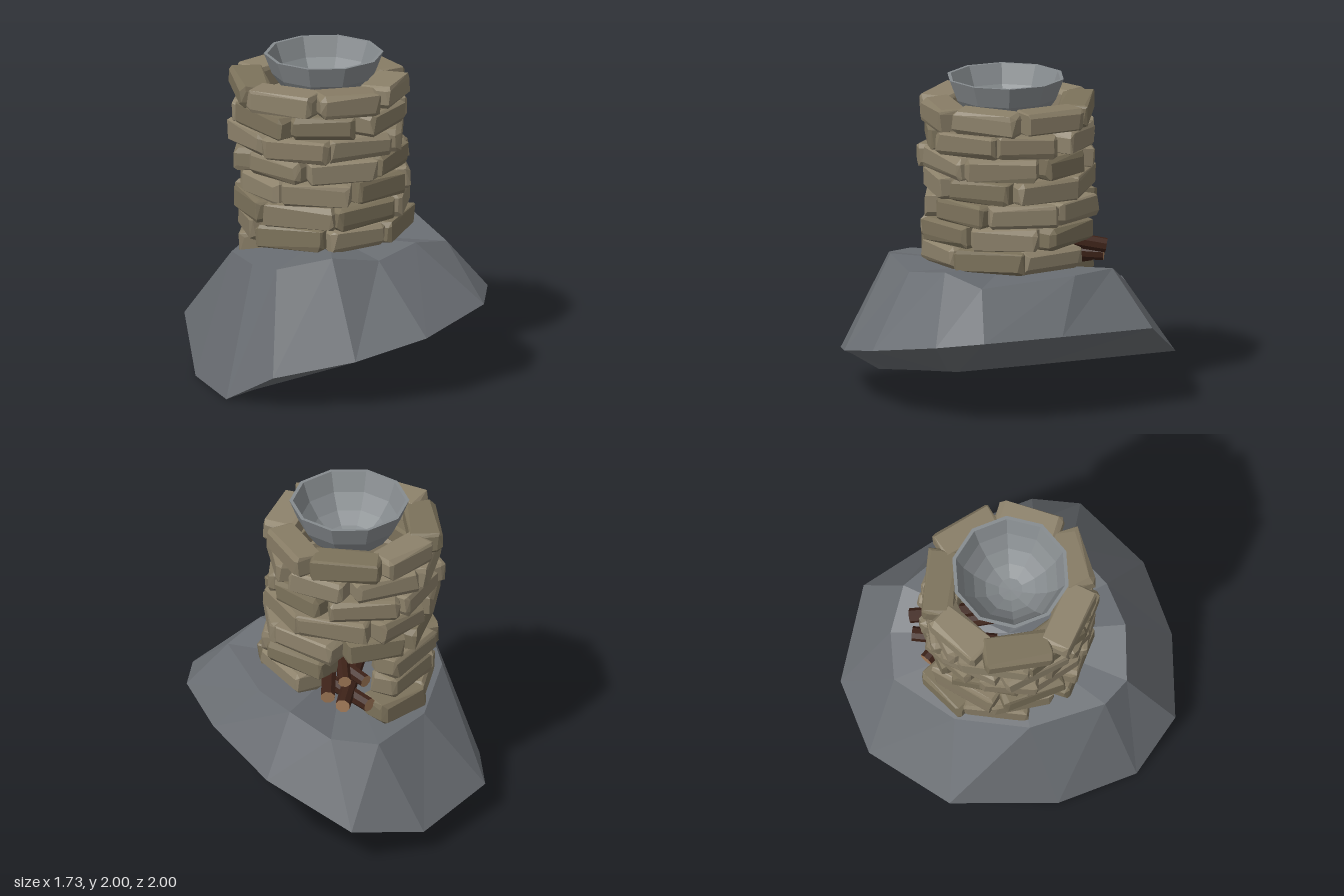
import * as THREE from 'three';
import { ConvexGeometry } from 'three/addons/geometries/ConvexGeometry.js';

let seed = 7;
const rnd = () => (seed = (seed * 16807) % 2147483647) / 2147483647;
const jit = (a) => (rnd() * 2 - 1) * a;

const mat = (color, side = THREE.FrontSide) => new THREE.MeshStandardMaterial({ color, flatShading: true, side });
const ROCK = mat(0x6a6e73);
const BOWL = mat(0x868b8e, THREE.DoubleSide);
const STONES = [mat(0x877c65), mat(0x7c725b), mat(0x8d826b)];
const BARK = mat(0x3d2218);
const CUT = mat(0xa87f5c);

// Faceted boulder: underside ring, widest ring and plateau ring, capped at both ends
function makeRock() {
  const under = [[-.18, .15, -1], [.29, .24, -1], [.36, .255, -.5], [.43, .27, -.02], [.43, .27, .5], [.43, .27, .5],
    [.26, .235, .5], [-.21, .14, .5], [-.69, .04, .5], [-.87, 0, .5], [-.87, 0, -.02], [-.525, .075, -.51]];
  const rim = [[-.18, .15, -1], [.29, .24, -1], [.73, .51, -.67], [.86, .54, -.02], [.86, .54, .5], [.73, .51, .77],
    [.26, .41, 1], [-.21, .31, 1], [-.69, .21, .83], [-.87, 0, .5], [-.87, 0, -.02], [-.69, .2, -.67]];
  const top = [[.03, .68, -.75], [.31, .72, -.66], [.52, .86, -.49], [.62, .86, -.2], [.62, .83, .42], [.36, .89, .56],
    [.07, .84, .68], [-.24, .89, .68], [-.56, .82, .56], [-.65, .81, .38], [-.6, .75, -.1], [-.35, .68, -.5]];
  const pos = [];
  const tri = (...p) => p.forEach((v) => pos.push(...v));
  const rings = [under, rim, top];
  const n = rim.length;
  for (let i = 0; i < n; i++) {
    const j = (i + 1) % n;
    for (let k = 0; k < 2; k++) {
      const a = rings[k], b = rings[k + 1];
      tri(a[i], b[i], a[j]);
      tri(a[j], b[i], b[j]);
    }
    tri([0, .82, 0], top[j], top[i]);
    tri([-.2, .139, 0], under[i], under[j]);
  }
  const geo = new THREE.BufferGeometry();
  geo.setAttribute('position', new THREE.Float32BufferAttribute(pos, 3));
  geo.computeVertexNormals();
  const rock = new THREE.Mesh(geo, ROCK);
  rock.name = 'rockBase';
  return rock;
}

// Rough stone block: hull of a box whose corners are chipped unevenly
function stoneGeometry(l, h, d) {
  const pts = [];
  for (const sx of [-1, 1]) for (const sy of [-1, 1]) for (const sz of [-1, 1]) {
    const c = () => .006 + rnd() * .034;
    const x = l / 2, y = h / 2, z = d / 2;
    pts.push(new THREE.Vector3(sx * x, sy * (y - c()), sz * (z - c())));
    pts.push(new THREE.Vector3(sx * (x - c()), sy * y, sz * (z - c())));
    pts.push(new THREE.Vector3(sx * (x - c()), sy * (y - c()), sz * z));
  }
  return new ConvexGeometry(pts);
}

function placeStone(parent, angle, y, radius, shift = 0) {
  const stone = new THREE.Mesh(stoneGeometry(.41 + jit(.05), .142, .2 + jit(.015)), STONES[Math.floor(rnd() * 3)]);
  stone.name = 'stone';
  stone.position.set(Math.cos(angle) * radius + shift, y, Math.sin(angle) * radius);
  stone.rotation.set(jit(.03), Math.PI / 2 - angle + jit(.12), jit(.025));
  parent.add(stone);
}

// Ring wall of staggered courses, with an opening for the logs in the lowest two
function makeWall() {
  const wall = new THREE.Group();
  wall.name = 'stoneWall';
  wall.position.set(-.02, 0, -.025);
  const rad = THREE.MathUtils.degToRad;
  // footing stones where the rock falls away
  placeStone(wall, rad(-110), .785, .45);
  placeStone(wall, rad(-150), .8, .41);
  const shifts = [0, 0, 0, -.02, -.03, -.02, -.035];
  for (let row = 0; row < 7; row++) {
    const y = .927 + row * .1445;
    const open = row < 2;
    const start = open ? -12 - row * 14 : row * 32;
    const step = open ? 50 + row * 2 : 360 / 7;
    const radius = row === 6 ? .425 : .408;
    for (let i = 0; i < (open ? 6 : 7); i++) {
      placeStone(wall, rad(start + i * step + jit(2.5)), y, radius + jit(.012), shifts[row]);
    }
  }
  return wall;
}

// Log running between two points, with pale cut ends
function makeLog(a, b, r) {
  const from = new THREE.Vector3(...a), to = new THREE.Vector3(...b);
  const log = new THREE.Mesh(new THREE.CylinderGeometry(r, r * 1.08, from.distanceTo(to), 8), [BARK, CUT, CUT]);
  log.name = 'log';
  log.position.copy(from).lerp(to, .5);
  log.quaternion.setFromUnitVectors(new THREE.Vector3(0, 1, 0), to.sub(from).normalize());
  return log;
}

function makeLogs() {
  const logs = new THREE.Group();
  logs.name = 'firewood';
  const list = [
    [[.12, 1.04, -.08], [.29, .95, -.54], .046],
    [[.22, 1.03, -.06], [.02, .97, -.47], .042],
    [[-.05, .9, -.1], [.2, .88, -.56], .046],
    [[.25, .88, -.1], [.02, .84, -.54], .046],
    [[.05, 1.06, -.05], [.16, 1, -.48], .042],
  ];
  for (const [a, b, r] of list) logs.add(makeLog(a, b, r));
  return logs;
}

// Ten-sided metal bowl with a thin rim: outer curve upwards, inner curve back down
function makeBowl() {
  const outer = [[0, 1.66], [.08, 1.665], [.17, 1.7], [.25, 1.77], [.32, 1.87], [.37, 2]];
  const inner = outer.map(([r, y]) => [r * .94, y + (2 - y) * .06]).reverse();
  const profile = [...outer, ...inner].map(([r, y]) => new THREE.Vector2(r, y));
  const bowl = new THREE.Mesh(new THREE.LatheGeometry(profile, 10), BOWL);
  bowl.name = 'fireBowl';
  bowl.position.x = -.03;
  return bowl;
}

export function createModel() {
  seed = 7;
  const model = new THREE.Group();
  model.name = 'stoneBrazier';
  model.add(makeRock(), makeWall(), makeLogs(), makeBowl());
  return model;
}
